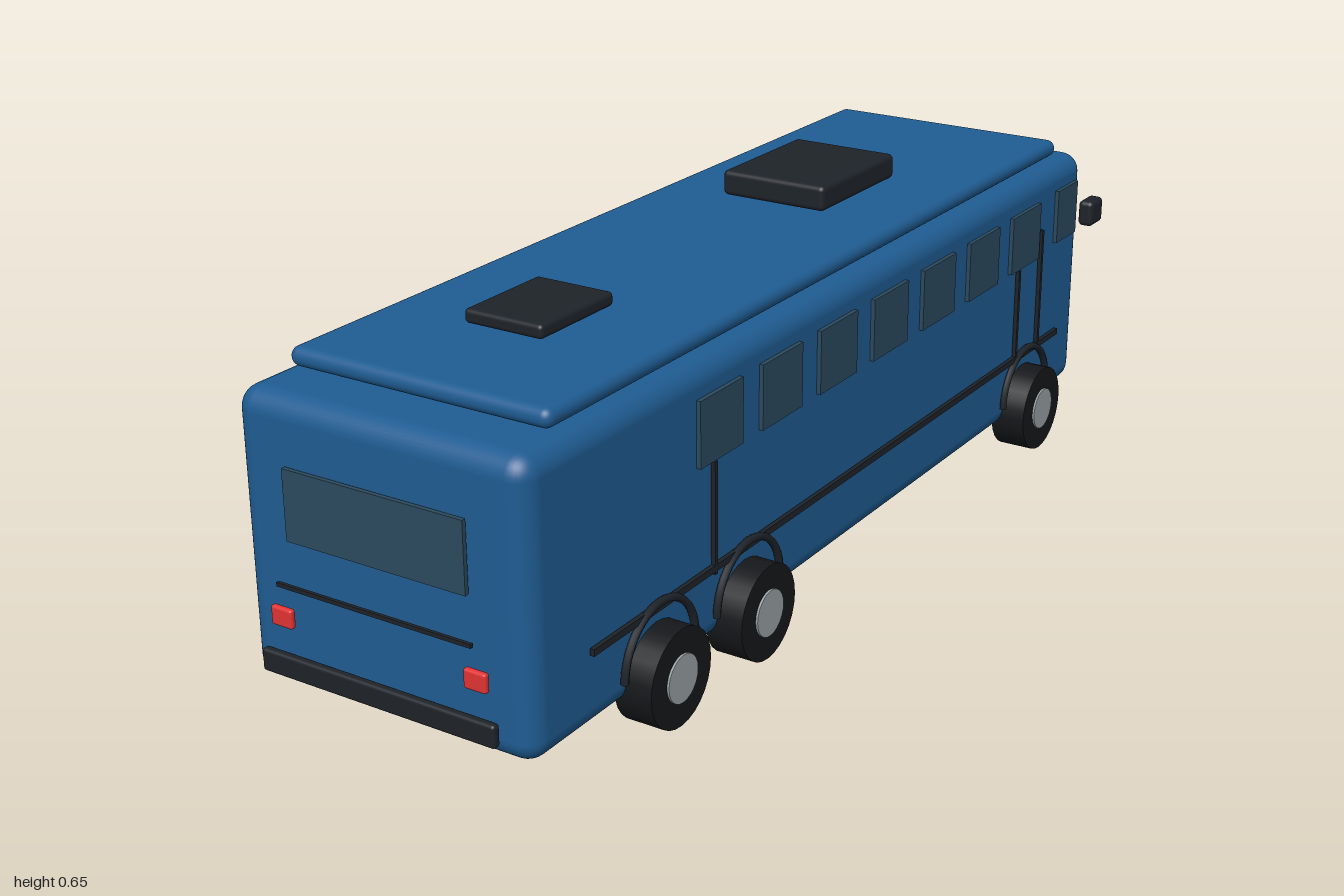
import * as THREE from 'three';
import { RoundedBoxGeometry } from 'three/addons/geometries/RoundedBoxGeometry.js';

const mat = (color) => new THREE.MeshStandardMaterial({ color });

export function createModel() {
  const bus = new THREE.Group();
  bus.name = 'bus';
  const paint = mat(0x1f5c92), dark = mat(0x1e2329), tyre = mat(0x15171a), hubGrey = mat(0x9aa2a6);
  const glass = mat(0x2c4a5e), red = mat(0xe03232), amber = mat(0xc08a2a), cream = mat(0xeee0b0);

  const add = (name, geometry, material, x, y, z, parent = bus) => {
    const mesh = new THREE.Mesh(geometry, material);
    mesh.name = name;
    mesh.position.set(x, y, z);
    parent.add(mesh);
    return mesh;
  };
  const box = (name, m, w, h, d, x, y, z, parent) =>
    add(name, new THREE.BoxGeometry(w, h, d), m, x, y, z, parent);
  const rounded = (name, m, w, h, d, r, x, y, z, parent) =>
    add(name, new RoundedBoxGeometry(w, h, d, 4, r), m, x, y, z, parent);

  // Shell, roof cap and roof units
  rounded('body', paint, 0.56, 0.5, 1.925, 0.038, 0, 0.313, 0.008);
  rounded('roofCap', paint, 0.502, 0.034, 1.75, 0.0165, 0, 0.584, -0.003);
  rounded('airConditioner', dark, 0.218, 0.048, 0.274, 0.01, 0, 0.63, -0.3);
  rounded('roofHatch', dark, 0.154, 0.025, 0.196, 0.008, 0, 0.618, 0.555);

  // Tail end (+z)
  box('rearWindow', glass, 0.348, 0.122, 0.008, 0, 0.393, 0.979);
  box('rearTrim', dark, 0.38, 0.007, 0.006, 0, 0.26, 0.993);
  rounded('rearBumper', dark, 0.46, 0.04, 0.016, 0.006, 0, 0.12, 0.992);
  for (const s of [-1, 1]) rounded('tailLight', red, 0.043, 0.034, 0.012, 0.005, s * 0.19, 0.2, 0.986);

  // Driving end (-z)
  box('windshield', glass, 0.4, 0.172, 0.008, 0, 0.42, -0.961);
  box('destinationSign', amber, 0.3, 0.045, 0.01, 0, 0.537, -0.971);
  box('grille', dark, 0.32, 0.046, 0.008, 0, 0.225, -0.973);
  rounded('frontBumper', dark, 0.46, 0.04, 0.016, 0.006, 0, 0.12, -0.992);
  for (const s of [-1, 1]) rounded('headlight', cream, 0.055, 0.03, 0.012, 0.004, s * 0.137, 0.194, -0.982);

  // Both long sides
  for (const s of [-1, 1]) {
    const side = new THREE.Group();
    side.name = s > 0 ? 'leftSide' : 'rightSide';
    bus.add(side);

    for (let i = 0; i < 7; i++)
      box('sideWindow', glass, 0.008, 0.116, 0.128, s * 0.284, 0.449, 0.463 - i * 0.189, side);
    box('driverWindow', glass, 0.008, 0.11, 0.094, s * 0.285, 0.456, -0.863, side);

    // Waist rail and door posts
    box('sideRail', dark, 0.008, 0.012, 1.67, s * 0.286, 0.201, -0.008, side);
    for (const [z, top] of [[0.484, 0.39], [-0.644, 0.39], [-0.747, 0.447]])
      box('doorPost', dark, 0.008, top - 0.19, 0.008, s * 0.286, (top + 0.19) / 2, z, side);

    rounded('mirror', dark, 0.032, 0.053, 0.058, 0.01, s * 0.321, 0.452, -0.908, side);

    // Wheels with hubs and arches
    for (const z of [0.647, 0.382, -0.695]) {
      const wheel = new THREE.Group();
      wheel.name = 'wheel';
      wheel.position.set(s * 0.293, 0.086, z);
      side.add(wheel);
      add('tyre', new THREE.CylinderGeometry(0.086, 0.086, 0.07, 28), tyre, 0, 0, 0, wheel).rotation.z = Math.PI / 2;
      add('hub', new THREE.CylinderGeometry(0.042, 0.042, 0.076, 24), hubGrey, s * 0.001, 0, 0, wheel).rotation.z = Math.PI / 2;
      const arch = add('wheelArch', new THREE.TorusGeometry(0.1, 0.007, 8, 24, Math.PI), dark, s * 0.289, 0.11, z, side);
      arch.rotation.y = Math.PI / 2;
    }
  }
  return bus;
}
